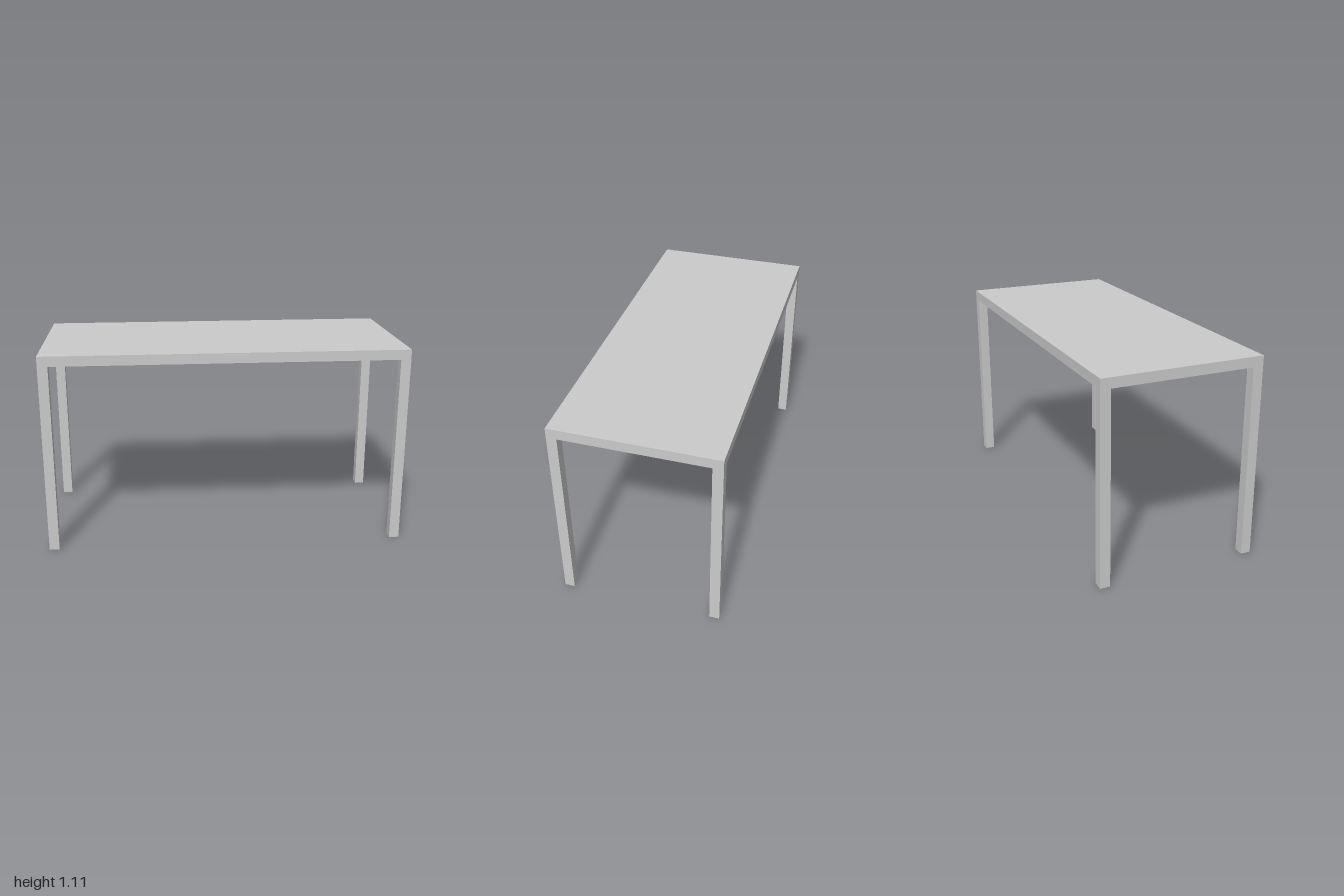
import * as THREE from 'three';

const WIDTH = 2, DEPTH = 0.889, HEIGHT = 1.111;
const THICK = 0.0555; // tabletop thickness and leg width

export function createModel() {
  const table = new THREE.Group();
  table.name = 'table';
  const material = new THREE.MeshStandardMaterial({ color: 0xcccccc });

  const addBox = (name, w, h, d, x, y, z) => {
    const mesh = new THREE.Mesh(new THREE.BoxGeometry(w, h, d), material);
    mesh.name = name;
    mesh.position.set(x, y, z);
    table.add(mesh);
  };

  // Flat slab top
  addBox('tabletop', WIDTH, THICK, DEPTH, 0, HEIGHT - THICK / 2, 0);

  // Square legs flush with the corners, ending under the slab
  const legHeight = HEIGHT - THICK;
  for (const [side, sx] of [['Left', 1], ['Right', -1]]) {
    for (const [end, sz] of [['front', 1], ['back', -1]]) {
      addBox(`${end}${side}Leg`, THICK, legHeight, THICK,
        sx * (WIDTH - THICK) / 2, legHeight / 2, sz * (DEPTH - THICK) / 2);
    }
  }
  return table;
}
